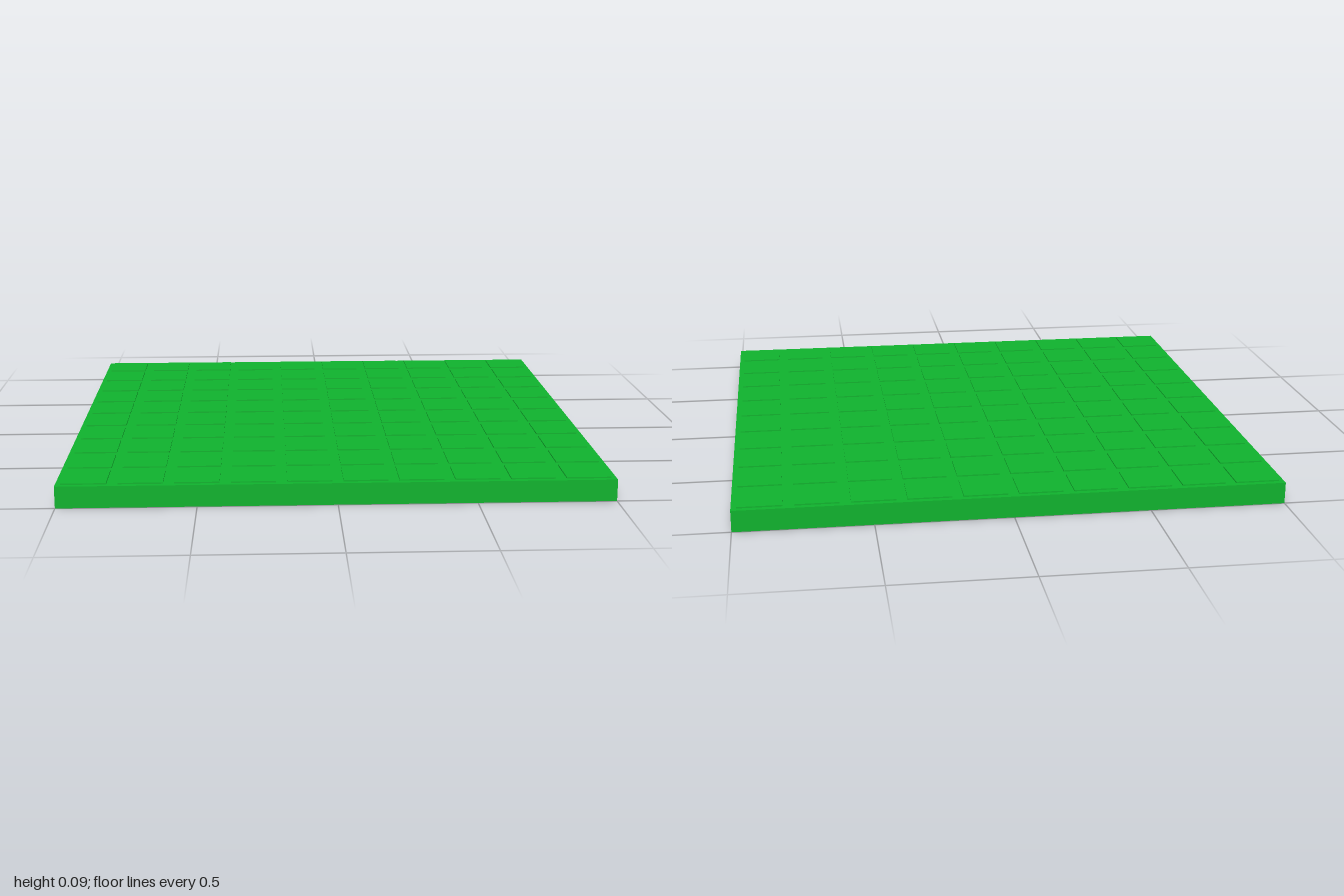
import * as THREE from 'three';

export function createModel() {
  const group = new THREE.Group();
  group.name = 'tiledSlab';
  const green = new THREE.MeshStandardMaterial({ color: 0x10b42e });

  const baseHeight = 0.08, tileHeight = 0.005;
  const count = 10, pitch = 2 / count, tileSize = 0.16;

  // Flat square slab
  const slab = new THREE.Mesh(new THREE.BoxGeometry(2, baseHeight, 2), green);
  slab.name = 'slab';
  slab.position.y = baseHeight / 2;
  group.add(slab);

  // Grid of thin raised tiles
  const tiles = new THREE.Group();
  tiles.name = 'tiles';
  const tileGeometry = new THREE.BoxGeometry(tileSize, tileHeight, tileSize);
  for (let i = 0; i < count; i++) {
    for (let j = 0; j < count; j++) {
      const tile = new THREE.Mesh(tileGeometry, green);
      tile.name = 'tile';
      tile.position.set(
        -1 + (i + 0.5) * pitch,
        baseHeight + tileHeight / 2,
        -1 + (j + 0.5) * pitch
      );
      tiles.add(tile);
    }
  }
  group.add(tiles);
  return group;
}
